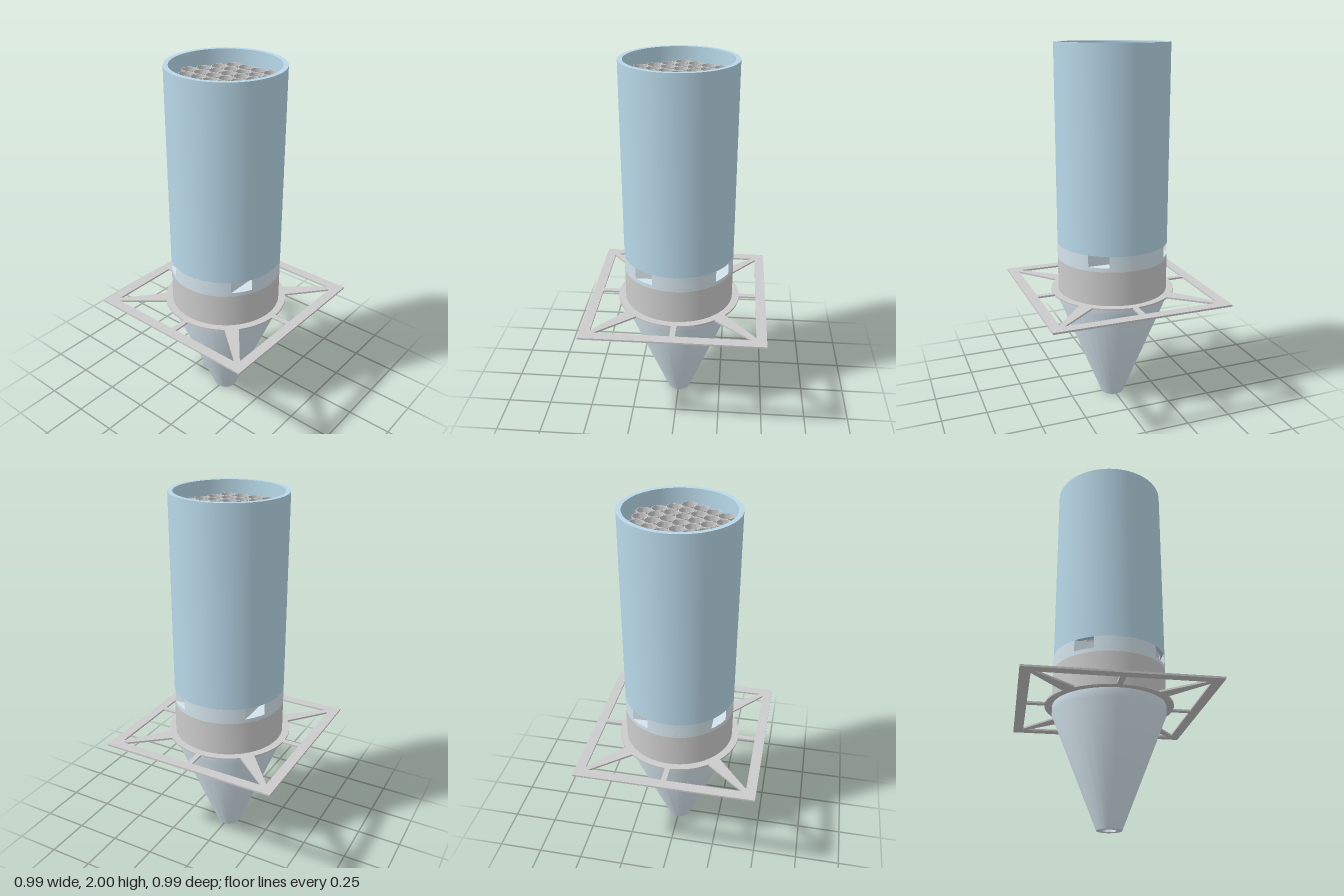
import * as THREE from 'three';
import { toCreasedNormals } from 'three/addons/utils/BufferGeometryUtils.js';

const R = 0.305, RI = 0.28;               // outer and inner radius of the housing
const PLATE_Y = 0.645, COLLAR_Y = 0.655, INLET_Y = 0.843, FLOOR_Y = 0.865, BODY_Y = 0.928;

const grey = new THREE.MeshStandardMaterial({ color: 0xcccccc });
const blue = new THREE.MeshStandardMaterial({ color: 0xb8d8e8 });
const pale = new THREE.MeshStandardMaterial({ color: 0xd4e4ec });

function mesh(name, geometry, material) {
  const m = new THREE.Mesh(toCreasedNormals(geometry, 0.5), material);
  m.name = name;
  return m;
}

// Closed ring-shaped solid: [r, y] corners, up the outside and down the inside
function turned(corners, segments) {
  const pts = [...corners, corners[0]].map(([r, y]) => new THREE.Vector2(r, y));
  return new THREE.LatheGeometry(pts, segments);
}

// Flat plan shape (plan y = -z) raised from y0 to y1
function slab(shape, y0, y1) {
  const g = new THREE.ExtrudeGeometry(shape, { depth: y1 - y0, bevelEnabled: false, curveSegments: 96 });
  return g.rotateX(-Math.PI / 2).translate(0, y0, 0);
}

function arc(r, a0, a1, n = 20) {
  return Array.from({ length: n + 1 }, (_, i) => {
    const a = a0 + (a1 - a0) * i / n;
    return new THREE.Vector2(r * Math.cos(a), r * Math.sin(a));
  });
}

const v = (x, y) => new THREE.Vector2(x, y);

// Square mounting frame with hub ring, straight spokes and tapered corner gussets
function framePlate() {
  const s = 0.495;
  const shape = new THREE.Shape([v(-s, -s), v(s, -s), v(s, s), v(-s, s)]);
  shape.holes.push(new THREE.Path(arc(RI, 0, Math.PI * 2, 96).slice(0, -1)));
  const hub = 0.345, w = 0.015, bar = 0.44;
  const window = [
    v(w, bar), v(0.42, bar),
    ...arc(hub, Math.atan2(0.27, 0.215), Math.acos(w / hub), 14),
  ];
  for (const sx of [1, -1]) for (const sy of [1, -1]) for (const swap of [false, true]) {
    shape.holes.push(new THREE.Path(window.map(p => swap ? v(p.y * sx, p.x * sy) : v(p.x * sx, p.y * sy))));
  }
  return mesh('mountingFrame', slab(shape, PLATE_Y, COLLAR_Y), grey);
}

// Inlet ring: ledged floor, then four curved walls leaving tangential slots
function inletRing() {
  const group = new THREE.Group();
  group.name = 'inletRing';
  const inner = 0.2, guide = 0.215, half = Math.PI / 2;
  const innerEnd = Math.PI - Math.acos(inner / RI);

  const floor = new THREE.Shape(arc(R, 0, Math.PI * 2, 96).slice(0, -1));
  const opening = [];
  for (let k = 0; k < 4; k++) {
    const quarter = [v(0, inner), ...arc(RI, half, innerEnd)];
    opening.push(...quarter.map(p => p.rotateAround(v(0, 0), k * half)));
  }
  floor.holes.push(new THREE.Path(opening));
  group.add(mesh('inletFloor', slab(floor, INLET_Y, FLOOR_Y), pale));

  const wall = new THREE.Shape([
    ...arc(R, Math.asin(RI / R), half + Math.asin(guide / R)),
    v(-guide, 0), v(-inner, 0),
    ...arc(RI, innerEnd, half),
  ]);
  for (let k = 0; k < 4; k++) {
    const m = mesh('inletWall', slab(wall, FLOOR_Y, BODY_Y), pale);
    m.rotation.y = k * half;
    group.add(m);
  }
  return group;
}

// Hexagonal bundle of thin-walled tubes inside the body
function tubeBundle() {
  const group = new THREE.Group();
  group.name = 'tubeBundle';
  const r = 0.04, ri = 0.037, y0 = BODY_Y, y1 = 1.93;
  const geometry = toCreasedNormals(turned([[r, y0], [r, y1], [ri, y1], [ri, y0]], 32), 0.5);
  for (let row = -3; row <= 3; row++) {
    const count = 7 - Math.abs(row);
    for (let i = 0; i < count; i++) {
      const tube = new THREE.Mesh(geometry, grey);
      tube.name = 'innerTube';
      tube.position.set((i - (count - 1) / 2) * 2 * r, 0, row * r * Math.sqrt(3));
      group.add(tube);
    }
  }
  return group;
}

export function createModel() {
  const model = new THREE.Group();
  model.name = 'cycloneSeparator';

  // Hollow cone with short straight rim
  model.add(mesh('cone', turned([
    [0.065, 0], [R, 0.6], [R, PLATE_Y], [RI, PLATE_Y], [RI, 0.6], [0.036, 0],
  ], 96), pale));
  model.add(framePlate());
  model.add(mesh('collar', turned([
    [R, COLLAR_Y], [R, INLET_Y], [RI, INLET_Y], [RI, COLLAR_Y],
  ], 96), grey));
  model.add(inletRing());
  model.add(mesh('bodyTube', turned([[R, BODY_Y], [R, 2], [RI, 2], [RI, BODY_Y]], 96), blue));
  model.add(tubeBundle());
  return model;
}
